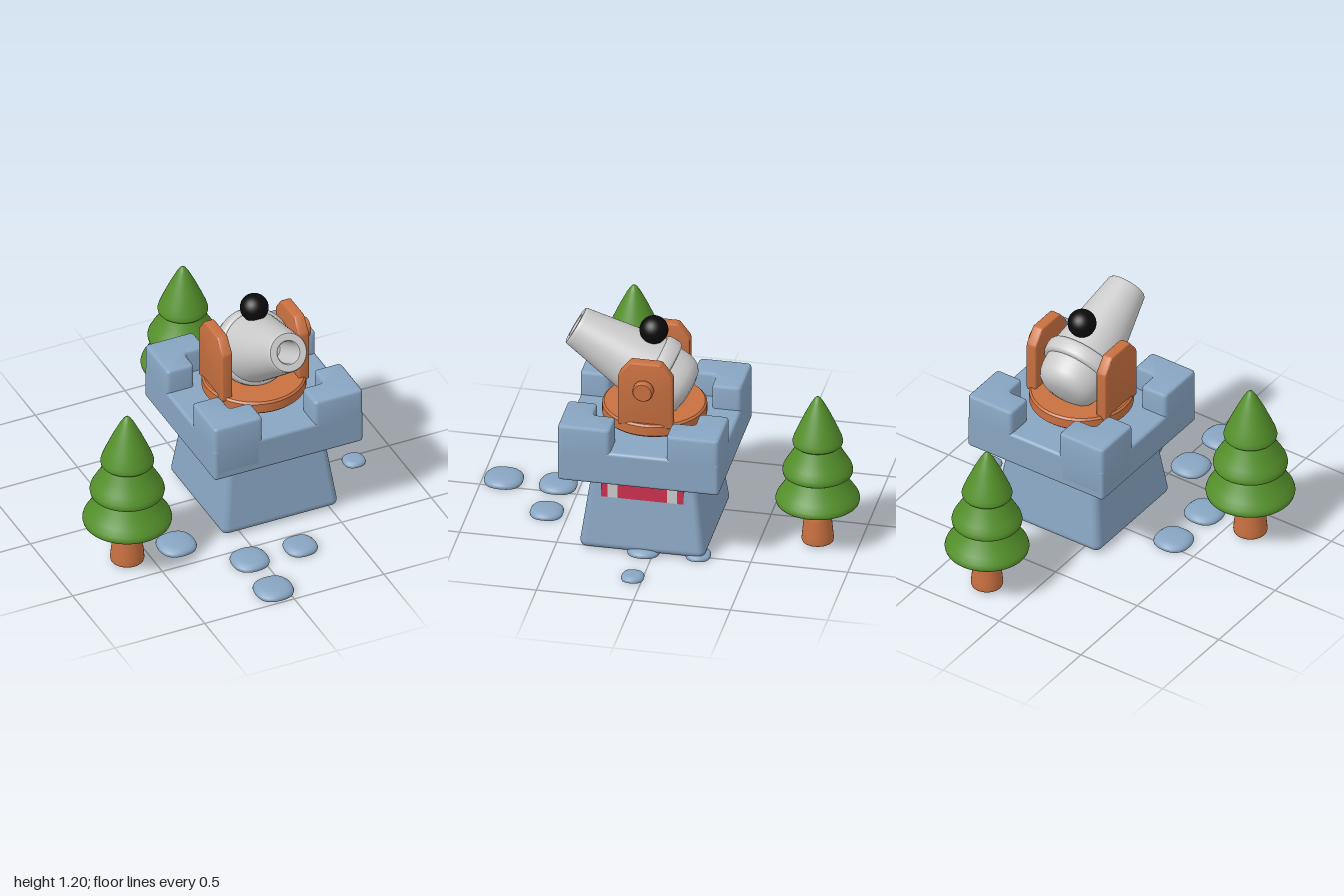
import * as THREE from 'three';
import { toCreasedNormals } from 'three/addons/utils/BufferGeometryUtils.js';
import { RoundedBoxGeometry } from 'three/addons/geometries/RoundedBoxGeometry.js';

const mat = (color) => new THREE.MeshStandardMaterial({ color });
const STONE = mat(0x88a5c2), WOOD = mat(0xc87040), LEAF = mat(0x55912b);
const METAL = mat(0xcccccc), RED = mat(0xcc2f4f), BLACK = mat(0x0a0a0a);

const CX = 0.222, CZ = 0.053; // centre of the tower

function add(parent, name, geometry, material, x = 0, y = 0, z = 0) {
  const mesh = new THREE.Mesh(geometry, material);
  mesh.name = name;
  mesh.position.set(x, y, z);
  parent.add(mesh);
  return mesh;
}

// Profile of [radius, height] from bottom to top; a repeated point makes a sharp edge
const lathe = (pts, sides = 48) =>
  new THREE.LatheGeometry(pts.map(([r, y]) => new THREE.Vector2(r, y)), sides);

// Closed outline with every corner rounded
function roundedShape(pts, r) {
  const shape = new THREE.Shape();
  const p = pts.map(([x, y]) => new THREE.Vector2(x, y));
  p.forEach((c, i) => {
    const prev = p[(i + p.length - 1) % p.length], next = p[(i + 1) % p.length];
    const a = c.clone().add(prev.clone().sub(c).setLength(r));
    const b = c.clone().add(next.clone().sub(c).setLength(r));
    if (i === 0) shape.moveTo(a.x, a.y); else shape.lineTo(a.x, a.y);
    shape.quadraticCurveTo(c.x, c.y, b.x, b.y);
  });
  shape.closePath();
  return shape;
}

function bevelled(shape, depth, bevel) {
  const geo = new THREE.ExtrudeGeometry(shape, {
    depth: depth - 2 * bevel, bevelThickness: bevel, bevelSize: bevel,
    bevelOffset: -bevel, bevelSegments: 3, curveSegments: 5,
  });
  geo.translate(0, 0, bevel);
  return toCreasedNormals(geo, 0.7);
}

// Rounded block narrowing towards the top
function taperedBlock(bottom, top, height, radius) {
  const geo = new RoundedBoxGeometry(bottom, height, bottom, 4, radius);
  const pos = geo.attributes.position, nor = geo.attributes.normal;
  const slope = (bottom - top) / 2 / height;
  const n = new THREE.Vector3();
  for (let i = 0; i < pos.count; i++) {
    const k = 1 + (top / bottom - 1) * (pos.getY(i) / height + 0.5);
    pos.setXYZ(i, pos.getX(i) * k, pos.getY(i), pos.getZ(i) * k);
    n.fromBufferAttribute(nor, i);
    n.y += slope * Math.max(Math.abs(n.x), Math.abs(n.z));
    n.normalize();
    nor.setXYZ(i, n.x, n.y, n.z);
  }
  return geo;
}

function makeTower() {
  const tower = new THREE.Group();
  tower.name = 'tower';
  tower.position.set(CX, 0, CZ);
  add(tower, 'towerBase', taperedBlock(0.656, 0.54, 0.425, 0.04), STONE, 0, 0.2225, 0);
  add(tower, 'parapetFloor', new RoundedBoxGeometry(0.83, 0.185, 0.83, 4, 0.018), STONE, 0, 0.5325, 0);

  // L-shaped corner merlons
  const h = 0.415, a = h - 0.27, t = h - 0.152;
  const corner = bevelled(
    roundedShape([[h, h], [a, h], [a, t], [t, t], [t, a], [h, a]], 0.025), 0.285, 0.014);
  corner.rotateX(-Math.PI / 2);
  for (let i = 0; i < 4; i++) {
    add(tower, 'cornerMerlon', corner, STONE, 0, 0.47, 0).rotation.y = i * Math.PI / 2;
  }

  // Striped banner hanging on one side
  const edges = [0.27, 0.235, 0.183, -0.07, -0.122, -0.155];
  for (let i = 0; i < 5; i++) {
    const w = edges[i] - edges[i + 1];
    add(tower, i % 2 ? 'bannerStripe' : 'bannerCloth', new THREE.BoxGeometry(0.02, 0.16, w),
      i % 2 ? METAL : RED, 0.28, 0.38, edges[i] - w / 2 - CZ);
  }
  return tower;
}

function makeCannon() {
  const cannon = new THREE.Group();
  cannon.name = 'cannon';
  cannon.position.set(CX, 0, CZ);

  add(cannon, 'turntable', lathe([
    [0, 0.652], [0.255, 0.652], [0.265, 0.662], [0.265, 0.662],
    [0.265, 0.712], [0.265, 0.712], [0.255, 0.722], [0.255, 0.722], [0, 0.722]], 64), WOOD);

  // Side brackets with clipped top corners
  const plate = bevelled(roundedShape([[-0.14, 0.7], [0.14, 0.7], [0.14, 0.985],
    [0.08, 1.063], [-0.08, 1.063], [-0.14, 0.985]], 0.012), 0.058, 0.008);
  plate.rotateY(-Math.PI / 2).translate(0.029, 0, 0);
  for (const s of [-1, 1]) add(cannon, 'bracket', plate, WOOD, s * 0.214, 0, 0);

  const bolt = lathe([[0.038, -0.04], [0.038, 0.012], [0.038, 0.012], [0.048, 0.012], [0.053, 0.018],
    [0.053, 0.045], [0.047, 0.053], [0.047, 0.053], [0, 0.053]], 32);
  add(cannon, 'pivotBolt', bolt, WOOD, 0.243, 0.925, 0.003).rotation.z = -Math.PI / 2;

  // Barrel turned about its axis, muzzle at local zero
  const barrel = lathe([
    [0, -0.668], [0.07, -0.665], [0.115, -0.654], [0.145, -0.632], [0.162, -0.6],
    [0.17, -0.56], [0.171, -0.515], [0.171, -0.515], [0.188, -0.513], [0.196, -0.5],
    [0.198, -0.47], [0.196, -0.445], [0.188, -0.432], [0.178, -0.43], [0.178, -0.43],
    [0.106, -0.02], [0.104, -0.008], [0.098, 0], [0.098, 0], [0.062, 0], [0.062, 0],
    [0.057, -0.008], [0.055, -0.25], [0.055, -0.25], [0, -0.25]], 64);
  const b = add(cannon, 'barrel', barrel, METAL, 0, 1.11, 0.46 - CZ);
  b.rotation.x = THREE.MathUtils.degToRad(61);

  add(cannon, 'cannonball', new THREE.SphereGeometry(0.073, 32, 20), BLACK, 0, 1.13, 0.004);
  return cannon;
}

// One skirt of foliage: rolled rim below, sloping side above
const tier = (r, y, topR, topY) => lathe([
  [0, y + 0.02], [r * 0.75, y + 0.005], [r * 0.92, y], [r * 0.985, y + 0.008], [r, y + 0.022],
  [r * 0.975, y + 0.042], [r * 0.88, y + 0.075],
  [THREE.MathUtils.lerp(r * 0.88, topR, 0.5), THREE.MathUtils.lerp(y + 0.075, topY, 0.42)],
  [topR, topY], [topR, topY], [0, topY + 0.002]]);

function makeTree(x, z, scale) {
  const tree = new THREE.Group();
  tree.name = 'tree';
  tree.position.set(x, 0.008, z);
  tree.scale.setScalar(scale);
  add(tree, 'trunk', lathe([[0, 0], [0.075, 0], [0.075, 0], [0.084, 0.005], [0.087, 0.016],
    [0.084, 0.05], [0.075, 0.14], [0.064, 0.27], [0, 0.27]], 32), WOOD);
  add(tree, 'lowerFoliage', tier(0.227, 0.24, 0.135, 0.43), LEAF);
  add(tree, 'middleFoliage', tier(0.19, 0.415, 0.105, 0.61), LEAF);
  add(tree, 'topFoliage', lathe([[0, 0.61], [0.1, 0.598], [0.126, 0.595], [0.134, 0.602],
    [0.136, 0.613], [0.13, 0.635], [0.112, 0.68], [0.072, 0.77], [0.034, 0.845],
    [0.018, 0.87], [0.008, 0.88], [0, 0.882]]), LEAF);
  return tree;
}

// Flat pebble with a hollowed underside, slightly squared in plan
function stoneGeometry() {
  const geo = lathe([[0, 0.2], [0.45, 0.2], [0.55, 0.08], [0.7, 0.08], [0.8, 0], [0.97, 0],
    [0.97, 0], [1, 0.25], [0.97, 0.5], [0.85, 0.78], [0.62, 0.95], [0.3, 1], [0, 1]], 40);
  const pos = geo.attributes.position;
  for (let i = 0; i < pos.count; i++) {
    const angle = Math.atan2(pos.getZ(i), pos.getX(i));
    const k = 1 - 0.035 * Math.cos(4 * angle);
    pos.setX(i, pos.getX(i) * k);
    pos.setZ(i, pos.getZ(i) * k);
  }
  return geo;
}

export function createModel() {
  const model = new THREE.Group();
  model.name = 'cannonTower';
  model.add(makeTower(), makeCannon());
  model.add(makeTree(-0.618, 0.335, 1), makeTree(0.222, -0.787, 0.943));

  // Stepping stones: x, z, radius
  const stone = stoneGeometry();
  const stones = [[-0.345, 0.05, 0.1], [-0.342, 0.33, 0.103], [-0.065, 0.61, 0.1], [0.217, 0.61, 0.088],
    [-0.065, 0.89, 0.103], [0.78, 0.05, 0.06], [0.497, 0.05, 0.088], [0.493, -0.228, 0.066]];
  for (const [x, z, r] of stones) {
    add(model, 'steppingStone', stone, STONE, x, 0, z).scale.set(r, 0.012 + r * 0.27, r);
  }
  return model;
}
